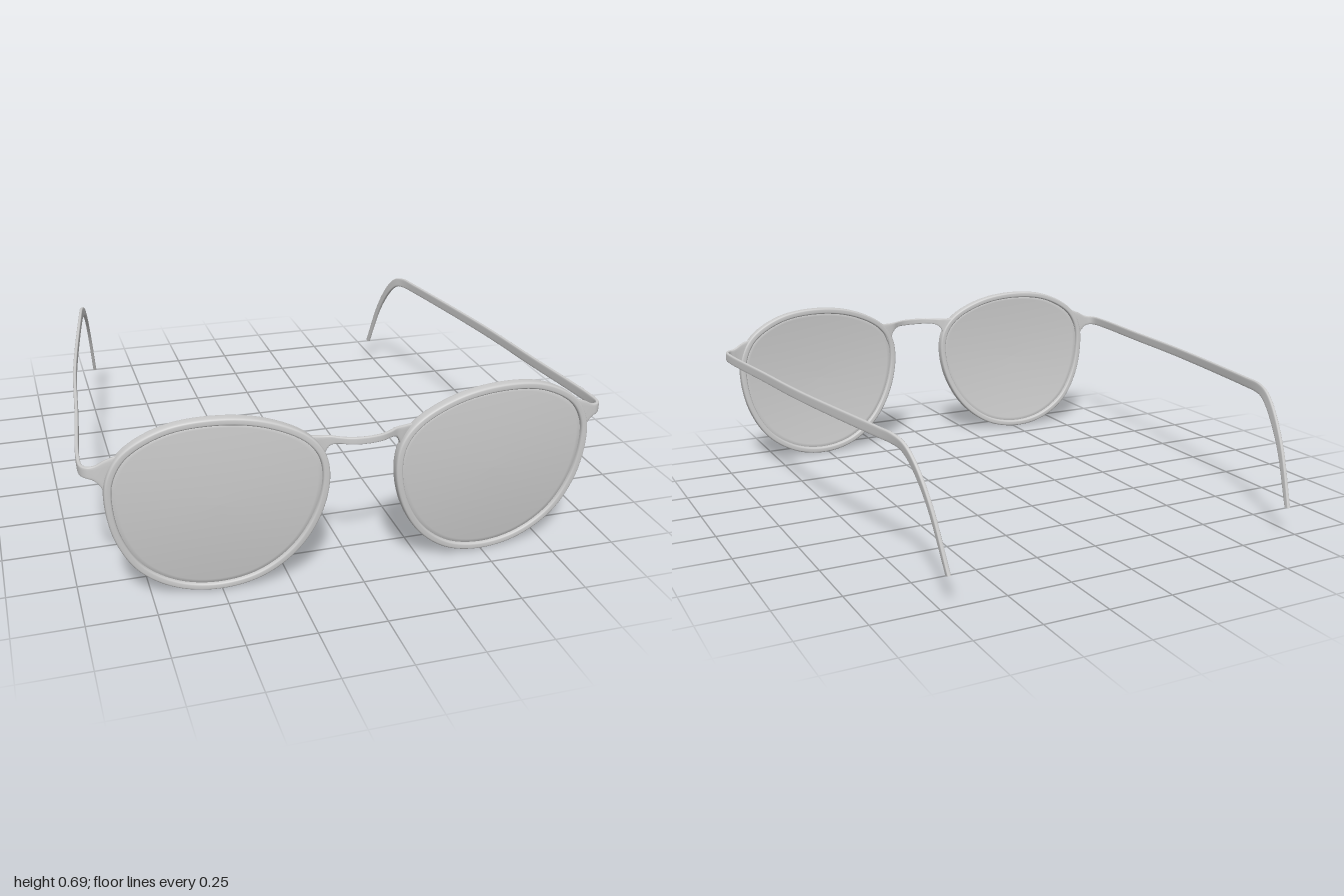
import * as THREE from 'three';

const V = (x, y, z = 0) => new THREE.Vector3(x, y, z);
const material = new THREE.MeshStandardMaterial({ color: 0xcccccc });

// Reverses the triangles if the closed surface is inside out, then smooths it
function finish(geo) {
  const p = geo.attributes.position, idx = geo.index.array;
  const a = V(0, 0), b = V(0, 0), c = V(0, 0);
  let volume = 0;
  for (let i = 0; i < idx.length; i += 3) {
    a.fromBufferAttribute(p, idx[i]);
    b.fromBufferAttribute(p, idx[i + 1]);
    c.fromBufferAttribute(p, idx[i + 2]);
    volume += a.dot(b.cross(c));
  }
  if (volume < 0) {
    for (let i = 0; i < idx.length; i += 3) [idx[i], idx[i + 1]] = [idx[i + 1], idx[i]];
  }
  geo.computeVertexNormals();
  return geo;
}

// Skins a list of closed cross-sections; closed joins last to first, otherwise ends are capped
function loft(sections, closed = false) {
  const n = sections[0].length, m = sections.length;
  const points = sections.flat(), index = [];
  for (let i = 0; i < (closed ? m : m - 1); i++) {
    for (let j = 0; j < n; j++) {
      const a = i * n + j, b = i * n + (j + 1) % n;
      const c = ((i + 1) % m) * n + j, d = ((i + 1) % m) * n + (j + 1) % n;
      index.push(a, c, b, b, c, d);
    }
  }
  if (!closed) {
    for (const [row, flip] of [[0, false], [m - 1, true]]) {
      const first = points.length;
      points.push(...sections[row].map((q) => q.clone()));
      for (let j = 1; j < n - 1; j++) {
        const t = [first, first + j, first + j + 1];
        index.push(...(flip ? t.reverse() : t));
      }
    }
  }
  const geo = new THREE.BufferGeometry().setFromPoints(points);
  geo.setIndex(index);
  return finish(geo);
}

// Rounded rectangle spanned by half-axes u and v around a centre
function section(centre, u, v, n = 16, power = 0.5) {
  const soft = (t) => Math.sign(t) * Math.pow(Math.abs(t), power);
  return Array.from({ length: n }, (_, i) => {
    const a = ((i + 0.5) / n) * Math.PI * 2;
    return centre.clone().addScaledVector(u, soft(Math.cos(a))).addScaledVector(v, soft(Math.sin(a)));
  });
}

// Flat band running between an upper and a lower edge
function ribbon(top, bottom, thickness, steps) {
  const up = new THREE.CatmullRomCurve3(top, false, 'centripetal');
  const low = new THREE.CatmullRomCurve3(bottom, false, 'centripetal');
  const mid = (t) => up.getPoint(t).add(low.getPoint(t)).multiplyScalar(0.5);
  const sections = [];
  for (let i = 0; i <= steps; i++) {
    const t = i / steps;
    const half = up.getPoint(t).sub(low.getPoint(t)).multiplyScalar(0.5);
    const along = mid(Math.min(1, t + 0.003)).sub(mid(Math.max(0, t - 0.003)));
    const across = along.cross(half).normalize().multiplyScalar(thickness / 2);
    sections.push(section(mid(t), half, across, 16, 0.4));
  }
  return loft(sections);
}

// Outer outline of one eye
const outline = new THREE.CatmullRomCurve3([
  V(0.53, 0.69), V(0.70, 0.667), V(0.835, 0.59), V(0.888, 0.5), V(0.897, 0.4), V(0.868, 0.25),
  V(0.79, 0.115), V(0.66, 0.028), V(0.51, 0.002), V(0.36, 0.035), V(0.235, 0.13), V(0.152, 0.27),
  V(0.121, 0.42), V(0.138, 0.52), V(0.2, 0.597), V(0.35, 0.667),
], true, 'centripetal');
const eyeX = 0.51, eyeY = 0.36;

// Tilted, domed surface that both rim and lens follow
function domeZ(x, y) {
  const dx = x - eyeX, dy = y - eyeY;
  return 0.925 - 0.071 * dx + 0.05 * dy - 0.065 * dx * dx - 0.19 * dy * dy;
}

// Point on the outline moved inwards, with its outward direction
function outlineAt(t, inset) {
  const p = outline.getPoint(t), d = outline.getTangent(t);
  const out = V(-d.y, d.x);
  p.addScaledVector(out, -inset);
  p.z = domeZ(p.x, p.y);
  return { p, out };
}

function rimGeometry() {
  const sections = [];
  for (let i = 0; i < 112; i++) {
    const { p, out } = outlineAt(i / 112, 0.0135);
    sections.push(section(p, out.multiplyScalar(0.0135), V(0, 0, 0.021)));
  }
  return loft(sections, true);
}

function lensGeometry() {
  const edge = Array.from({ length: 96 }, (_, i) => outlineAt(i / 96, 0.02).p);
  const scales = [0.001, 0.2, 0.4, 0.6, 0.8, 0.94, 1];
  const ring = (s, offset) => edge.map((e) => {
    const x = eyeX + (e.x - eyeX) * s, y = eyeY + (e.y - eyeY) * s;
    return V(x, y, domeZ(x, y) + offset);
  });
  return loft([
    ...scales.map((s) => ring(s, -0.006)),
    ...scales.slice().reverse().map((s) => ring(s, 0.006)),
  ]);
}

// Nose bridge: flared at the rims, bowed forward in the middle
function bridgeGeometry() {
  const top = [V(0.195, 0.583, 0.932), V(0.16, 0.582, 0.94), V(0.122, 0.582, 0.949),
    V(0.092, 0.582, 0.968), V(0.055, 0.583, 0.986)];
  const bottom = [V(0.14, 0.45, 0.937), V(0.137, 0.515, 0.942), V(0.12, 0.546, 0.95),
    V(0.092, 0.557, 0.968), V(0.055, 0.557, 0.986)];
  const span = (half, y) => [...half, V(0, y, 0.993),
    ...half.slice().reverse().map((q) => V(-q.x, q.y, q.z))];
  return ribbon(span(top, 0.583), span(bottom, 0.557), 0.014, 60);
}

// Flared end piece, turned corner, straight arm and ear hook in one band
function templeGeometry() {
  const top = [
    V(0.835, 0.58, 0.892), V(0.885, 0.562, 0.886), V(0.92, 0.543, 0.879), V(0.945, 0.539, 0.871),
    V(0.96, 0.538, 0.85), V(0.963, 0.538, 0.78), V(0.926, 0.538, 0.4), V(0.888, 0.538, 0),
    V(0.80, 0.538, -0.6), V(0.784, 0.536, -0.70), V(0.77, 0.518, -0.765), V(0.757, 0.468, -0.825),
    V(0.738, 0.34, -0.91), V(0.715, 0.115, -0.999),
  ];
  const bottom = [
    V(0.885, 0.42, 0.886), V(0.902, 0.465, 0.884), V(0.924, 0.49, 0.879), V(0.945, 0.497, 0.871),
    V(0.96, 0.498, 0.85), V(0.963, 0.498, 0.78), V(0.926, 0.498, 0.4), V(0.888, 0.498, 0),
    V(0.80, 0.498, -0.6), V(0.784, 0.497, -0.685), V(0.77, 0.487, -0.74), V(0.757, 0.446, -0.795),
    V(0.738, 0.325, -0.885), V(0.715, 0.112, -0.978),
  ];
  return ribbon(top, bottom, 0.014, 130);
}

export function createModel() {
  const model = new THREE.Group();
  model.name = 'glasses';
  const add = (name, geo) => {
    const mesh = new THREE.Mesh(geo, material);
    mesh.name = name;
    model.add(mesh);
  };

  // Each side part is built on the left and mirrored to the right
  const parts = { Rim: rimGeometry(), Lens: lensGeometry(), Temple: templeGeometry() };
  for (const [name, geo] of Object.entries(parts)) {
    add('left' + name, geo);
    add('right' + name, finish(geo.clone().scale(-1, 1, 1)));
  }
  add('bridge', bridgeGeometry());
  return model;
}
